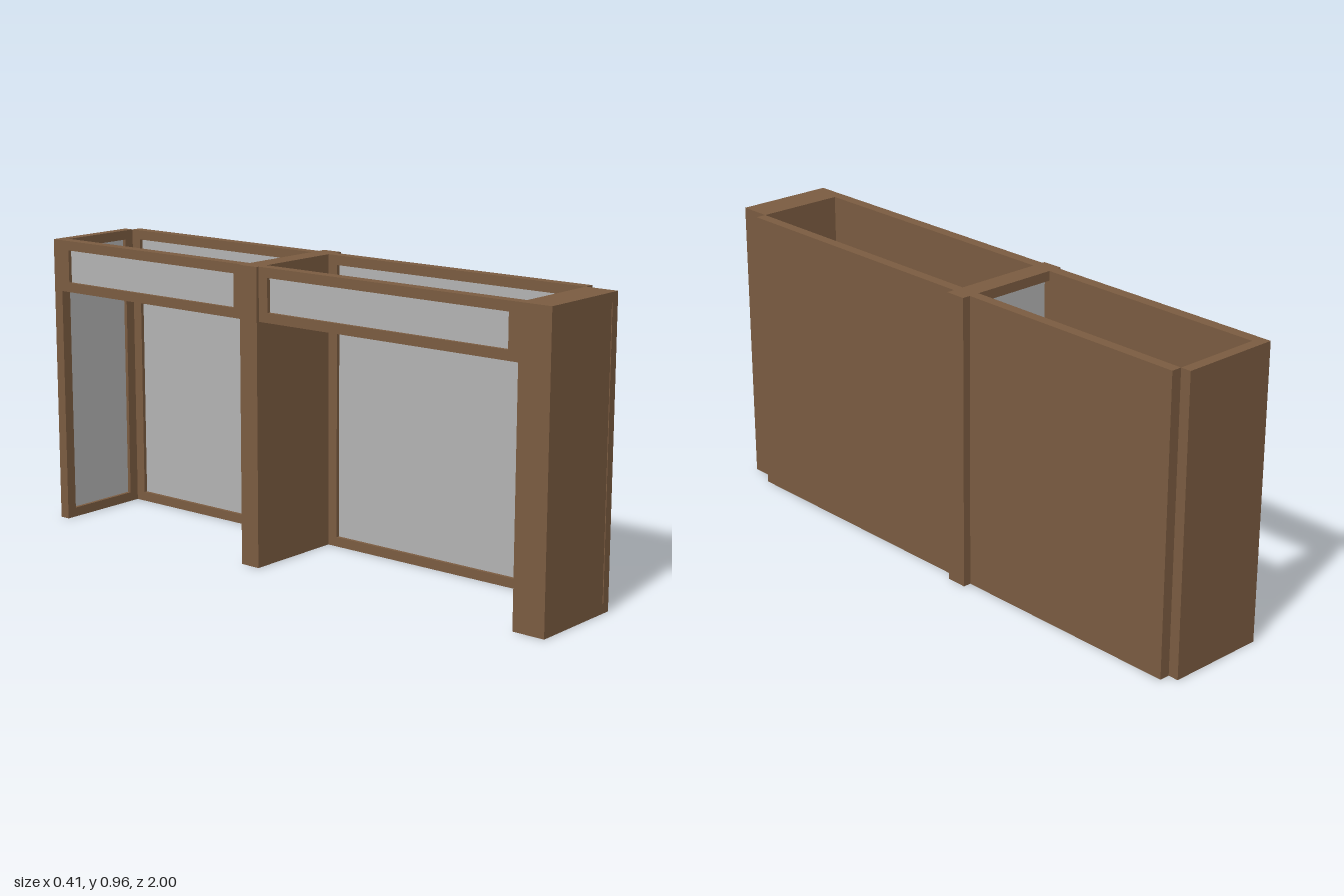
import * as THREE from 'three';

const wood = new THREE.MeshStandardMaterial({ color: 0x7b5c41 });
wood.name = 'brown wood';
const glass = new THREE.MeshStandardMaterial({ color: 0xb3b3b3 });
glass.name = 'grey glass';

const H = 0.963; // wall height
const RAIL = 0.035; // width of the frame rails

// Solid panel facing local +z, standing on y = 0, with a recess cut in its face.
// hole = [x0, x1, y0, y1]; by default an even rail runs round the edge.
function recessedPanel(name, width, height, depth, recess, paneMaterial = glass, hole) {
  const group = new THREE.Group();
  group.name = name;
  const [x0, x1, y0, y1] = hole || [-width / 2 + RAIL, width / 2 - RAIL, RAIL * 0.9, height - RAIL * 0.9];

  // backing board
  const board = new THREE.Mesh(new THREE.BoxGeometry(width, height, depth - recess), wood);
  board.position.set(0, height / 2, -recess / 2);
  board.name = name + 'Board';

  // frame around the recess
  const outline = new THREE.Shape();
  outline.moveTo(-width / 2, 0).lineTo(width / 2, 0).lineTo(width / 2, height).lineTo(-width / 2, height).closePath();
  const opening = new THREE.Path();
  opening.moveTo(x0, y0).lineTo(x0, y1).lineTo(x1, y1).lineTo(x1, y0).closePath();
  outline.holes.push(opening);
  const frame = new THREE.Mesh(
    new THREE.ExtrudeGeometry(outline, { depth: recess, bevelEnabled: false }), wood);
  frame.position.z = depth / 2 - recess;
  frame.name = name + 'Frame';

  // pane on the floor of the recess
  const pane = new THREE.Mesh(new THREE.BoxGeometry(x1 - x0, y1 - y0, 0.002), paneMaterial);
  pane.position.set((x0 + x1) / 2, (y0 + y1) / 2, depth / 2 - recess + 0.001);
  pane.name = name + 'Pane';

  group.add(board, frame, pane);
  return group;
}

function place(panel, x, y, z, turn = 0) {
  panel.position.set(x, y, z);
  panel.rotation.y = turn;
  return panel;
}

export function createModel() {
  const model = new THREE.Group();
  model.name = 'partitionUnit';

  // thick front end wall with a narrow upright groove
  const grooved = recessedPanel('frontWall', 0.335, H, 0.11, 0.02, wood, [0.136, 0.14, 0.03, 0.933]);
  model.add(place(grooved, -0.0275, 0, 0.945));

  // thin rear wall, glazed on the inside
  model.add(place(recessedPanel('rearWall', 0.335, H, 0.035, 0.014), -0.0275, 0, -0.9825));

  // middle partition, glazed towards the rear
  model.add(place(recessedPanel('middlePartition', 0.407, H, 0.07, 0.035), -0.0015, 0, -0.117, Math.PI));

  // each bay has a full side wall glazed inside and a glazed header opposite
  const headerHeight = 0.172;
  const bays = [['rear', -0.965, -0.152], ['front', -0.082, 0.89]];
  for (const [bay, z0, z1] of bays) {
    const length = z1 - z0, z = (z0 + z1) / 2;
    model.add(place(recessedPanel(bay + 'SideWall', length, H, 0.035, 0.014), 0.1575, 0, z, -Math.PI / 2));
    model.add(place(recessedPanel(bay + 'Header', length, headerHeight, 0.038, 0.014),
      -0.176, H - headerHeight, z, -Math.PI / 2));
  }
  return model;
}
